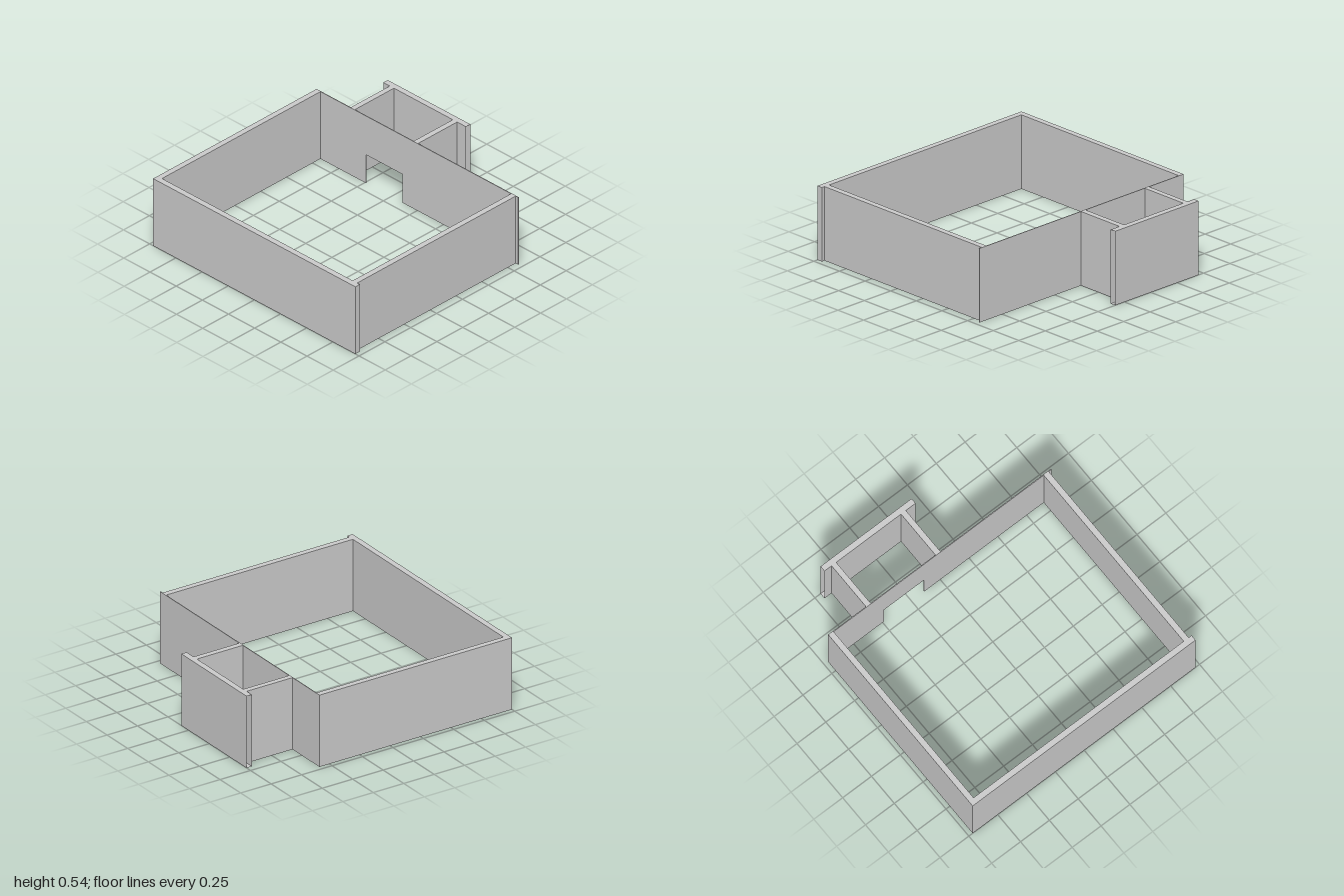
import * as THREE from 'three';

const H = 0.543; // common wall height

export function createModel() {
  const group = new THREE.Group();
  const material = new THREE.MeshStandardMaterial({
    color: 0xcccccc, flatShading: true, side: THREE.DoubleSide,
  });

  const add = (name, geometry) => {
    const mesh = new THREE.Mesh(geometry, material);
    mesh.name = name;
    group.add(mesh);
  };

  // Full-height wall covering a rectangle of the floor plan
  const wall = (x0, x1, z0, z1) =>
    new THREE.BoxGeometry(x1 - x0, H, z1 - z0)
      .translate((x0 + x1) / 2, H / 2, (z0 + z1) / 2);

  // Main room
  add('frontWall', wall(-0.967, 0.965, 0.957, 1));
  add('rightWall', wall(-0.967, -0.925, -0.578, 0.957));
  add('leftWall', wall(0.897, 0.94, -0.578, 0.957));

  // Thin back wall with a doorway into the annex
  const outline = new THREE.Shape([
    [-0.967, 0], [-0.49, 0], [-0.49, 0.23], [-0.14, 0.23],
    [-0.14, 0], [0.965, 0], [0.965, H], [-0.967, H],
  ].map(([x, y]) => new THREE.Vector2(x, y)));
  add('backWallWithDoorway',
    new THREE.ExtrudeGeometry(outline, { depth: 0.006, bevelEnabled: false })
      .translate(0, 0, -0.581));

  // Annex side walls
  add('annexRightWall', wall(-0.64, -0.6, -0.957, -0.578));
  add('annexLeftWall', wall(-0.038, 0.004, -0.957, -0.578));

  // Annex back wall, a hollow panel open at both ends (the two x faces are dropped)
  const panel = wall(-0.702, 0.088, -1, -0.957);
  panel.setIndex(Array.from(panel.index.array).slice(12));
  panel.clearGroups();
  add('annexBackWall', panel);

  return group;
}
